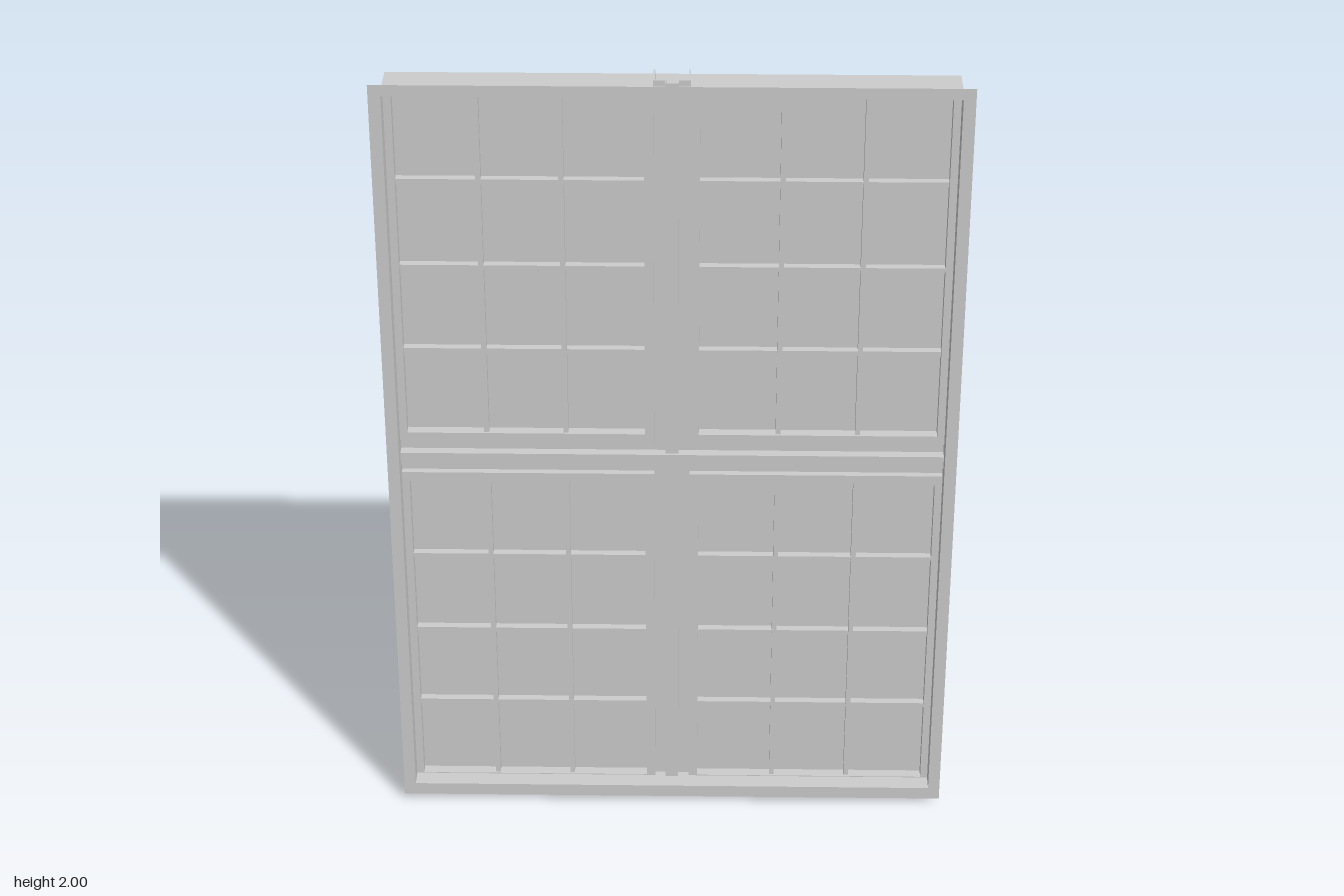
import * as THREE from 'three';

const grey = new THREE.MeshStandardMaterial({ color: 0xcccccc, flatShading: true, side: THREE.DoubleSide });

const HALF_W = 0.664, BOTTOM = 0.045, TOP = 1.975; // outer frame
const FRONT = 0.066, BACK = -0.068, GLASS = -0.01;
const BAR = 0.043; // half width of mullion and transom

function add(parent, name, geometry) {
  const mesh = new THREE.Mesh(geometry, grey);
  mesh.name = name;
  parent.add(mesh);
  return mesh;
}

// box given by its limits on each axis
function box(parent, name, x0, x1, y0, y1, z0, z1) {
  const mesh = add(parent, name, new THREE.BoxGeometry(x1 - x0, y1 - y0, z1 - z0));
  mesh.position.set((x0 + x1) / 2, (y0 + y1) / 2, (z0 + z1) / 2);
  return mesh;
}

function rectPoints(x0, x1, y0, y1) {
  return [[x0, y0], [x1, y0], [x1, y1], [x0, y1]].map(p => new THREE.Vector2(...p));
}

// flat ring between two rectangles, optionally extruded
function ringShape(outer, inner) {
  const shape = new THREE.Shape(rectPoints(...outer));
  shape.holes.push(new THREE.Path(rectPoints(...inner)));
  return shape;
}

// open stepped channel running along y, centred on its length
function channelGeometry(length, front) {
  const t = 0.004, nose = 0.016, step = 0.006, back = -0.057;
  const half = [
    [BAR - t, back], [BAR, back], [BAR, step], [nose, step], [nose, front],
  ];
  const inner = [[nose - t, front - t], [nose - t, step - t], [BAR - t, step - t]];
  const flip = pts => pts.map(([x, z]) => [-x, z]).reverse();
  const outline = [...half, ...flip(half), ...flip(inner), ...inner];
  const shape = new THREE.Shape(outline.map(([x, z]) => new THREE.Vector2(x, -z)));
  const geometry = new THREE.ExtrudeGeometry(shape, { depth: length, bevelEnabled: false });
  geometry.rotateX(-Math.PI / 2);
  geometry.translate(0, -length / 2, 0);
  return geometry;
}

// one window light: pane, raised border and a grid of glazing bars
function createSash(x0, x1, y0, y1, border) {
  const sash = new THREE.Group();
  const [left, right, low, high] = border;
  const gx0 = x0 + left, gx1 = x1 - right, gy0 = y0 + low, gy1 = y1 - high;
  box(sash, 'pane', x0, x1, y0, y1, GLASS - 0.002, GLASS + 0.002);
  const rim = add(sash, 'sashBorder', new THREE.ExtrudeGeometry(
    ringShape([x0, x1, y0, y1], [gx0, gx1, gy0, gy1]), { depth: 0.03, bevelEnabled: false }));
  rim.position.z = GLASS;
  const w = 0.006, cols = 3, rows = 4;
  for (let i = 1; i < cols; i++) {
    const x = gx0 + (gx1 - gx0) * i / cols;
    box(sash, 'verticalGlazingBar', x - w, x + w, gy0, gy1, GLASS - 0.003, 0.014);
  }
  for (let j = 1; j < rows; j++) {
    const y = gy0 + (gy1 - gy0) * j / rows;
    box(sash, 'horizontalGlazingBar', gx0, gx1, y - w, y + w, GLASS - 0.003, 0.012);
  }
  return sash;
}

export function createModel() {
  const model = new THREE.Group();
  model.name = 'window';

  // thin box frame and its front flange
  const t = 0.003;
  const frame = add(model, 'outerFrame', new THREE.ExtrudeGeometry(
    ringShape([-HALF_W, HALF_W, BOTTOM, TOP], [-HALF_W + t, HALF_W - t, BOTTOM + t, TOP - t]),
    { depth: FRONT - BACK, bevelEnabled: false }));
  frame.position.z = BACK;
  const flange = add(model, 'frontFlange', new THREE.ShapeGeometry(
    ringShape([-0.69, 0.69, 0.015, 2], [-HALF_W, HALF_W, BOTTOM, TOP])));
  flange.position.z = FRONT;

  // crossing channels
  const mullion = add(model, 'mullion', channelGeometry(1.99, 0.024));
  mullion.position.y = 0.995;
  const transom = add(model, 'transom', channelGeometry(1.36, 0.031));
  transom.rotation.z = Math.PI / 2;
  transom.position.y = 1;

  // four lights, mirrored left and right
  for (const side of [1, -1]) {
    const x0 = side > 0 ? BAR : -HALF_W + t;
    const x1 = side > 0 ? HALF_W - t : -BAR;
    const sides = side > 0 ? [0.022, 0.018] : [0.018, 0.022];
    const upper = createSash(x0, x1, 1.045, TOP - t, [...sides, 0.022, 0.014]);
    upper.name = side > 0 ? 'upperLeftSash' : 'upperRightSash';
    const lower = createSash(x0, x1, BOTTOM + t, 0.955, [...sides, 0.002, 0.025]);
    lower.name = side > 0 ? 'lowerLeftSash' : 'lowerRightSash';
    model.add(upper, lower);
  }
  return model;
}
